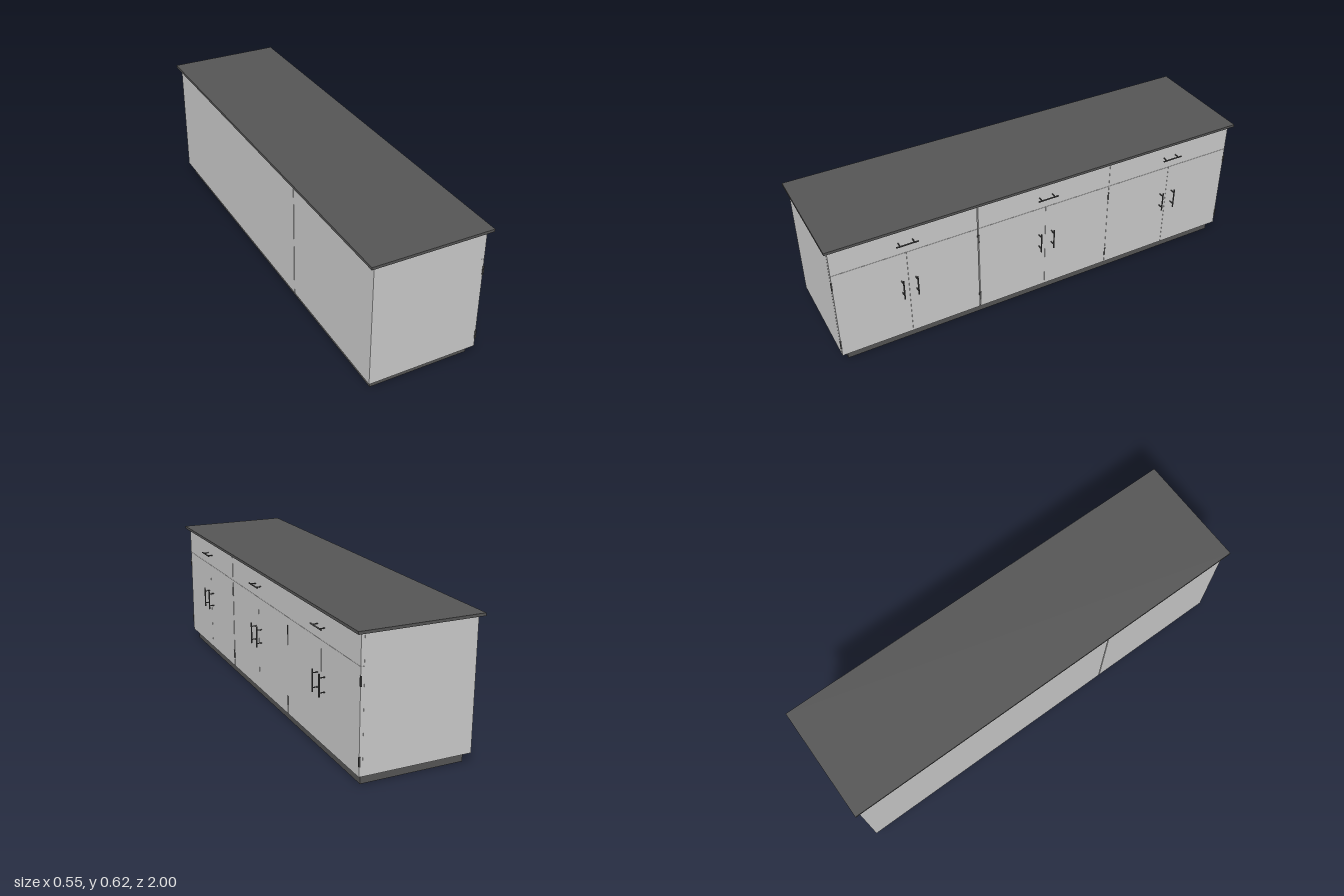
import * as THREE from 'three';

export function createModel() {
  const model = new THREE.Group();
  const grey = new THREE.MeshStandardMaterial({ color: 0xcccccc });
  const dark = new THREE.MeshStandardMaterial({ color: 0x555555 });
  const metal = new THREE.MeshStandardMaterial({ color: 0x4c4c4c });

  // Box given by its min and max corners
  function box(parent, name, material, [x0, y0, z0], [x1, y1, z1]) {
    const mesh = new THREE.Mesh(new THREE.BoxGeometry(x1 - x0, y1 - y0, z1 - z0), material);
    mesh.position.set((x0 + x1) / 2, (y0 + y1) / 2, (z0 + z1) / 2);
    mesh.name = name;
    parent.add(mesh);
  }

  // Bar handle on two posts, standing off the front along +x
  function handle(name, y, z, horizontal) {
    const group = new THREE.Group();
    group.name = name;
    const bar = new THREE.Mesh(new THREE.CylinderGeometry(0.0032, 0.0032, 0.098, 16), metal);
    bar.name = 'handleBar';
    bar.position.x = 0.0245;
    group.add(bar);
    for (const side of [-1, 1]) {
      const post = new THREE.Mesh(new THREE.CylinderGeometry(0.0024, 0.0024, 0.0245, 12), metal);
      post.name = 'handlePost';
      post.rotation.z = Math.PI / 2;
      post.position.set(0.01225, side * 0.0315, 0);
      group.add(post);
    }
    if (horizontal) group.rotation.x = Math.PI / 2;
    group.position.set(0.245, y, z);
    return group;
  }

  // Worktop and recessed plinth
  box(model, 'worktop', dark, [-0.273, 0.612, -1], [0.266, 0.624, 1]);
  box(model, 'plinth', dark, [-0.233, 0, -0.955], [0.225, 0.045, 0.955]);

  // Three cabinets: the one at +z stands a hair apart from the others
  const gap = 0.0005;
  const spans = [[-0.983, -0.3275], [-0.3275, 0.328], [0.332, 0.983]];
  for (const [z0, z1] of spans) {
    const cabinet = new THREE.Group();
    cabinet.name = 'cabinet';
    model.add(cabinet);
    const mid = (z0 + z1) / 2;
    box(cabinet, 'carcass', grey, [-0.253, 0.045, z0], [0.23, 0.612, z1]);
    box(cabinet, 'drawerFront', grey, [0.23, 0.484 + gap, z0 + gap], [0.245, 0.612, z1 - gap]);
    cabinet.add(handle('drawerHandle', 0.542, mid, true));

    // Pair of doors with handles at the middle and hinges at the outer edges
    for (const side of [-1, 1]) {
      const edge = side < 0 ? z0 : z1;
      const a = mid + side * gap, b = edge - side * gap;
      box(cabinet, 'door', grey, [0.23, 0.045, Math.min(a, b)], [0.245, 0.484 - gap, Math.max(a, b)]);
      cabinet.add(handle('doorHandle', 0.309, mid + side * 0.032, false));
      for (const y of [0.1075, 0.4285]) {
        box(cabinet, 'hinge', metal, [0.241, y - 0.0205, edge - 0.003], [0.2475, y + 0.0205, edge + 0.003]);
      }
    }
  }
  return model;
}
